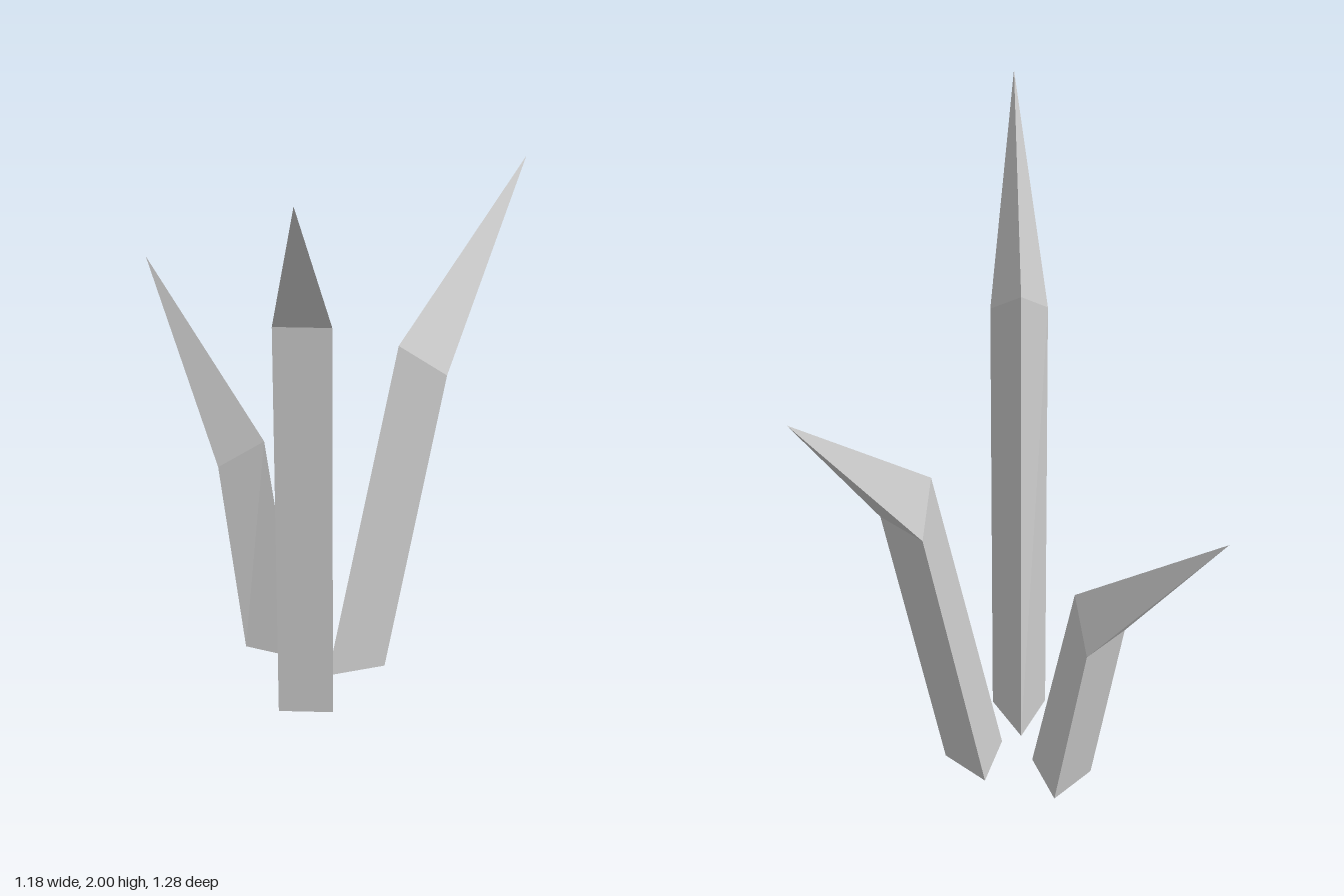
import * as THREE from 'three';

const material = new THREE.MeshStandardMaterial({ color: 0xcccccc, flatShading: true });

// Three corners of a blade's section: the inner ridge, then the two outer edges.
function section(ridge, yaw, depth, drop) {
  const half = 0.085;
  const outer = (side) => new THREE.Vector3(side * half, -drop, depth)
    .applyAxisAngle(new THREE.Vector3(0, 1, 0), yaw)
    .add(ridge);
  return [ridge, outer(1), outer(-1)];
}

// A triangular stalk, bent outward at the top into a pointed tip.
function makeBlade({ name, yaw, base, bend, tip }) {
  const low = section(new THREE.Vector3(...base), yaw, 0.17, 0);
  const high = section(new THREE.Vector3(...bend), yaw, 0.125, 0.115);
  const end = new THREE.Vector3(...tip);

  const corners = [...low]; // bottom cap
  for (let i = 0; i < 3; i++) {
    const j = (i + 1) % 3;
    corners.push(low[j], low[i], high[i], low[j], high[i], high[j]); // stalk side
    corners.push(high[j], high[i], end); // tip side
  }
  const geometry = new THREE.BufferGeometry().setFromPoints(corners);
  geometry.computeVertexNormals();
  const mesh = new THREE.Mesh(geometry, material);
  mesh.name = name;
  return mesh;
}

export function createModel() {
  const group = new THREE.Group();
  group.name = 'grassTuft';
  const blades = [
    { name: 'frontBlade', yaw: 0,
      base: [-0.057, 0, -0.055], bend: [-0.057, 1.545, 0.105], tip: [-0.057, 2, 0.64] },
    { name: 'leftBlade', yaw: Math.PI * 0.75,
      base: [0.005, 0, -0.077], bend: [0.213, 1.137, -0.207], tip: [0.59, 1.595, -0.59] },
    { name: 'rightBlade', yaw: -Math.PI * 0.75,
      base: [-0.087, 0, -0.166], bend: [-0.202, 0.75, -0.277], tip: [-0.593, 1.205, -0.642] },
  ];
  for (const blade of blades) group.add(makeBlade(blade));
  return group;
}
